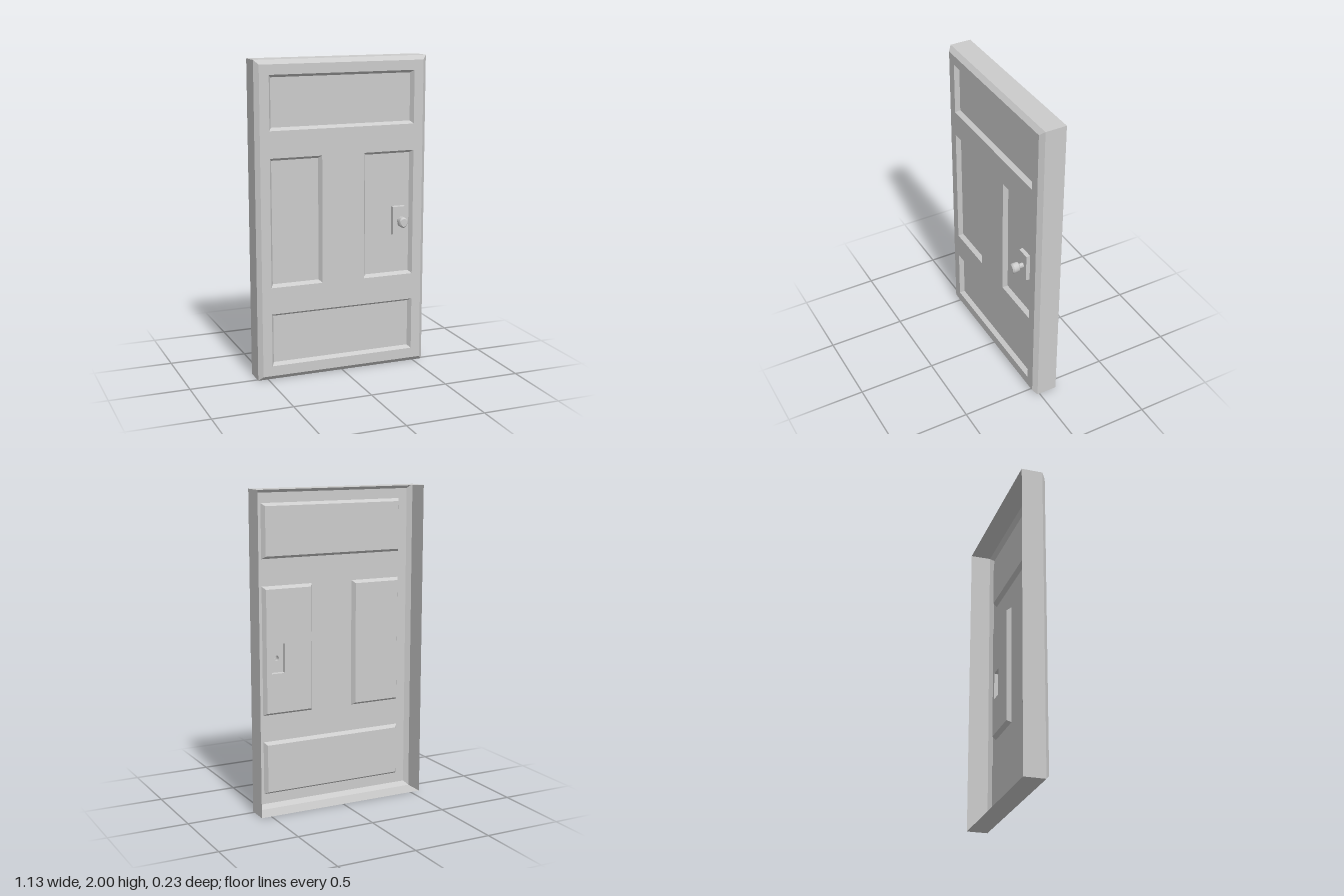
import * as THREE from 'three';
import { toCreasedNormals } from 'three/addons/utils/BufferGeometryUtils.js';

const FRONT = 0.04, PANEL = 0.012, PLATE = 0.036, BEVEL = 0.017;
const KNOB = { x: 0.383, y: 0.957, r: 0.014, stretch: 1.22 };

const flat = new THREE.MeshStandardMaterial({ color: 0xcccccc, flatShading: true, side: THREE.DoubleSide });
const smooth = new THREE.MeshStandardMaterial({ color: 0xcccccc, side: THREE.DoubleSide });

// Rectangles are [x0, y0, x1, y1]
const inset = ([x0, y0, x1, y1], d) => [x0 + d, y0 + d, x1 - d, y1 - d];
const corners = ([x0, y0, x1, y1]) => [[x0, y0], [x1, y0], [x1, y1], [x0, y1]].map(p => new THREE.Vector2(...p));

function add(group, name, geometry, material = flat) {
  const mesh = new THREE.Mesh(geometry, material);
  mesh.name = name;
  group.add(mesh);
  return mesh;
}

// Four-sided walls joining rectangular rings, each given as [rect, z]
function walls(rings) {
  const pos = [], index = [];
  for (const [rect, z] of rings) for (const c of corners(rect)) pos.push(c.x, c.y, z);
  for (let r = 0; r < rings.length - 1; r++) {
    for (let i = 0; i < 4; i++) {
      const a = r * 4 + i, b = r * 4 + (i + 1) % 4;
      index.push(a, b, b + 4, a, b + 4, a + 4);
    }
  }
  const g = new THREE.BufferGeometry();
  g.setAttribute('position', new THREE.Float32BufferAttribute(pos, 3));
  g.setIndex(index);
  const out = g.toNonIndexed();
  out.computeVertexNormals();
  return out;
}

// Flat sheet facing +z with optional rectangular holes
function sheet(rect, z, holes = []) {
  const shape = new THREE.Shape(corners(rect));
  for (const h of holes) shape.holes.push(new THREE.Path(corners(h).reverse()));
  return new THREE.ShapeGeometry(shape).translate(0, 0, z);
}

export function createModel() {
  const door = new THREE.Group();
  door.name = 'door';

  // Hollow slab, open at the back, with a bevelled front edge
  const outer = [-0.565, 0, 0.565, 2];
  const face = inset(outer, 0.027);
  add(door, 'slabSides', walls([[outer, -0.12], [outer, 0.015], [face, FRONT]]));

  // Recessed panels
  const panels = {
    topPanel: [-0.477, 1.575, 0.477, 1.911],
    rightPanel: [-0.477, 0.6, -0.14, 1.408],
    leftPanel: [0.14, 0.6, 0.477, 1.408],
    bottomPanel: [-0.477, 0.092, 0.477, 0.43],
  };
  const plate = [0.338, 0.865, 0.428, 1.05];
  add(door, 'frontFace', sheet(face, FRONT, Object.values(panels)));
  for (const [name, rect] of Object.entries(panels)) {
    const inner = inset(rect, BEVEL);
    add(door, name + 'Moulding', walls([[rect, FRONT], [inner, PANEL]]));
    add(door, name, sheet(inner, PANEL, name === 'leftPanel' ? [plate] : []));
  }

  // Raised handle plate, pierced where the hollow stem meets it
  const plateTop = inset(plate, 0.003);
  add(door, 'plateSides', walls([[plate, PANEL], [plateTop, PLATE]]));
  const plateShape = new THREE.Shape(corners(plateTop));
  plateShape.holes.push(new THREE.Path().absellipse(KNOB.x, KNOB.y, KNOB.r, KNOB.r * KNOB.stretch, 0, Math.PI * 2, true));
  add(door, 'handlePlate', new THREE.ShapeGeometry(plateShape, 8));

  door.getObjectByName('handlePlate').geometry.translate(0, 0, PLATE);

  // Oval knob on its stem, turned around the z axis
  const profile = [
    [KNOB.r, PLATE], [KNOB.r, 0.064], [0.02, 0.064], [0.028, 0.072],
    [0.028, 0.106], [0.021, 0.115], [0, 0.115],
  ].map(p => new THREE.Vector2(...p));
  const knobGeometry = new THREE.LatheGeometry(profile, 16);
  knobGeometry.rotateX(Math.PI / 2);
  knobGeometry.scale(1, KNOB.stretch, 1);
  const knob = add(door, 'knob', toCreasedNormals(knobGeometry, 0.5), smooth);
  knob.position.set(KNOB.x, KNOB.y, 0);

  return door;
}
